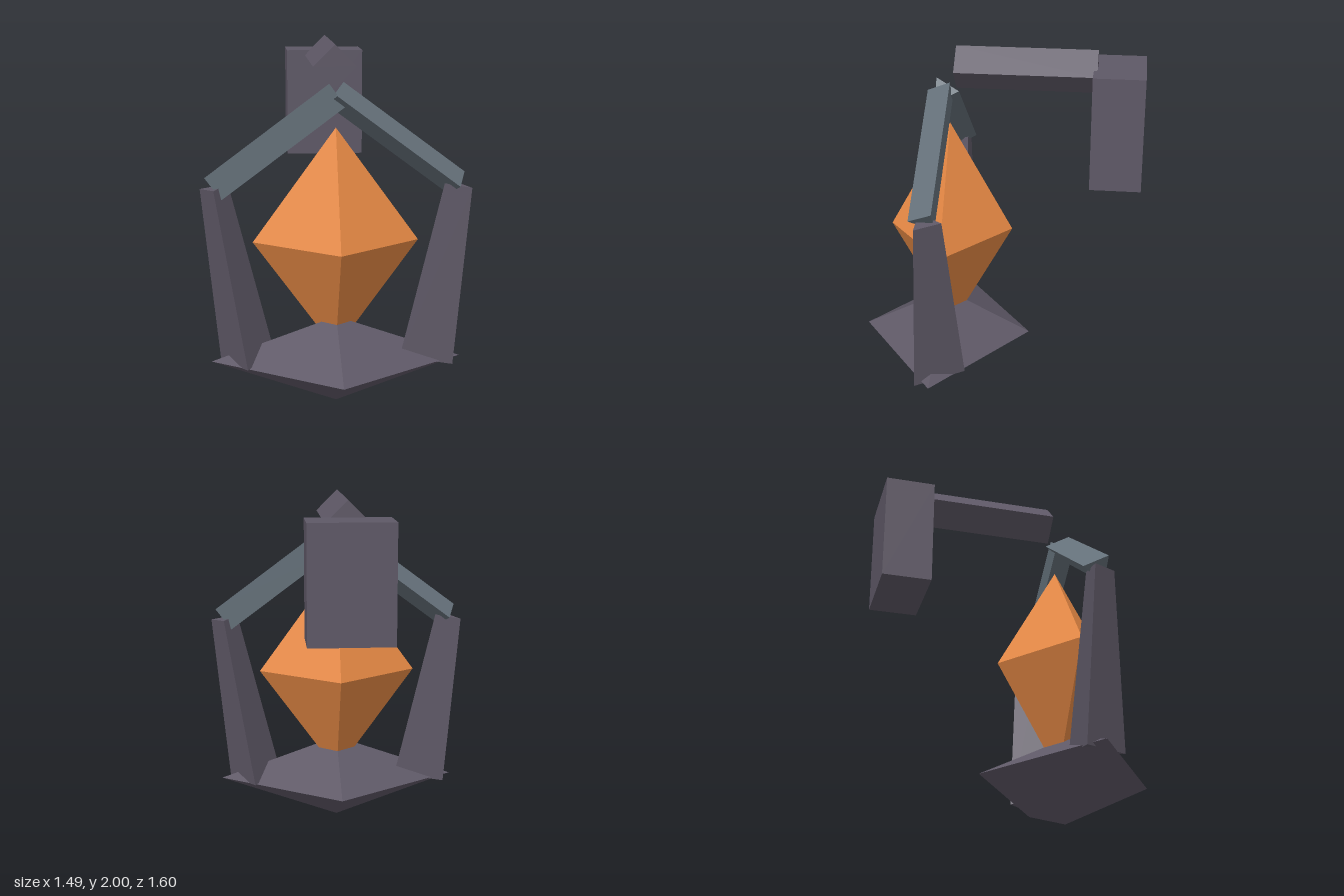
import * as THREE from 'three';

const mat = (color) => new THREE.MeshStandardMaterial({ color, flatShading: true });

export function createModel() {
  const model = new THREE.Group();
  const iron = mat(0x5e5866), steel = mat(0x647079), amber = mat(0xe88a45);
  const lampZ = 0.31; // vertical axis of the lantern

  const add = (parent, name, geometry, material, x, y, z) => {
    const mesh = new THREE.Mesh(geometry, material);
    mesh.name = name;
    mesh.position.set(x, y, z);
    parent.add(mesh);
    return mesh;
  };

  // Three-sided tapered bar between two points of the xy plane
  const strut = (parent, name, a, b, rTop, rBottom, turn, material) => {
    const dx = b[0] - a[0], dy = b[1] - a[1];
    const g = new THREE.CylinderGeometry(rTop, rBottom, Math.hypot(dx, dy), 3);
    g.rotateY(turn);
    g.rotateZ(Math.atan2(-dx, dy));
    add(parent, name, g, material, (a[0] + b[0]) / 2, (a[1] + b[1]) / 2, 0);
  };

  // Wall mount and diamond-section arm
  add(model, 'wallPlate', new THREE.BoxGeometry(0.455, 0.63, 0.28), iron, 0, 1.595, -0.66);
  const arm = new THREE.CylinderGeometry(0.12, 0.12, 0.775, 4).rotateX(Math.PI / 2);
  add(model, 'arm', arm, iron, 0, 1.88, -0.1525);

  // Base dish and glowing crystal
  const octahedron = (rx, ry, rz) => new THREE.OctahedronGeometry(1).scale(rx, ry, rz);
  add(model, 'base', octahedron(0.7, 0.247, 0.49), iron, 0, 0.248, lampZ);
  add(model, 'crystal', octahedron(0.46, 0.633, 0.352), amber, 0, 0.922, 0.275);

  // Leg and roof beam, repeated by a half turn about the lantern axis
  ['right', 'left'].forEach((side, i) => {
    const frame = new THREE.Group();
    frame.name = side + 'Frame';
    frame.position.z = lampZ;
    frame.rotation.y = i * Math.PI;
    strut(frame, side + 'Leg', [-0.498, 0.252], [-0.667, 1.238], 0.09, 0.175, 0, iron);
    strut(frame, side + 'RoofBeam', [-0.67, 1.24], [0.003, 1.74], 0.088, 0.088, Math.PI, steel);
    model.add(frame);
  });

  return model;
}
